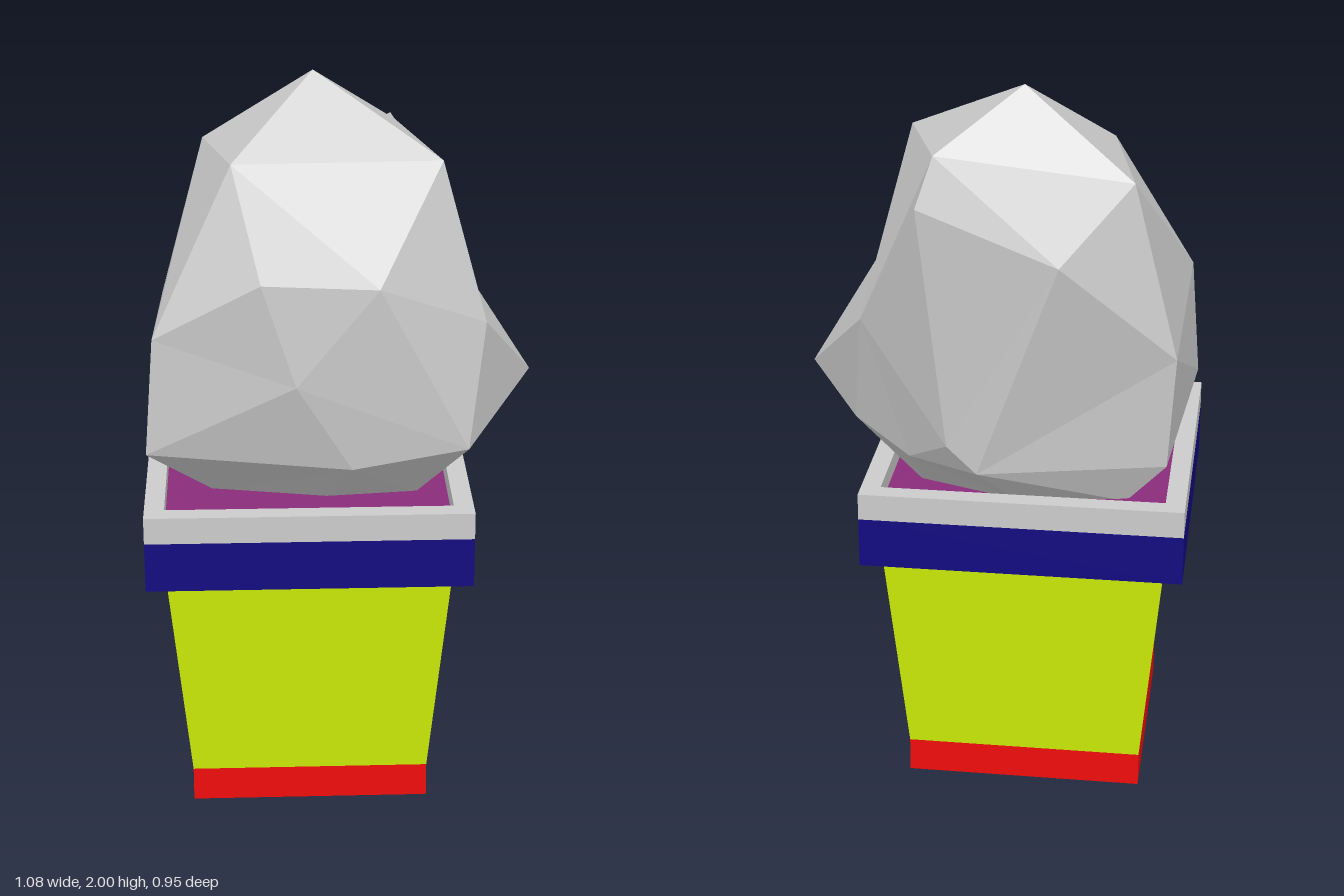
import * as THREE from 'three';
import { ConvexGeometry } from 'three/addons/geometries/ConvexGeometry.js';

const mat = (color) => new THREE.MeshStandardMaterial({ color, flatShading: true });

// Square frustum standing on y0, with half widths at bottom and top
function squareBlock(name, color, y0, y1, halfBottom, halfTop) {
  const geo = new THREE.CylinderGeometry(halfTop * Math.SQRT2, halfBottom * Math.SQRT2, y1 - y0, 4);
  geo.rotateY(Math.PI / 4);
  const mesh = new THREE.Mesh(geo, mat(color));
  mesh.name = name;
  mesh.position.y = (y0 + y1) / 2;
  return mesh;
}

// Square frame with an open middle
function squareFrame(name, color, y0, y1, outer, inner) {
  const square = (Type, h) => new Type([[-h, -h], [h, -h], [h, h], [-h, h]].map((p) => new THREE.Vector2(...p)));
  const shape = square(THREE.Shape, outer);
  shape.holes.push(square(THREE.Path, inner));
  const geo = new THREE.ExtrudeGeometry(shape, { depth: y1 - y0, bevelEnabled: false });
  geo.rotateX(-Math.PI / 2);
  const mesh = new THREE.Mesh(geo, mat(color));
  mesh.name = name;
  mesh.position.y = y0;
  return mesh;
}

// Faceted bush: corners are joined by their directions around a centre, which
// keeps dents that a plain hull would fill. An optional fourth number above 1
// makes edges between such corners win over the edges crossing them.
function bushGeometry(points) {
  const centre = new THREE.Vector3(-0.03, 1.38, 0);
  const corners = points.map(([x, y, z]) => new THREE.Vector3(x, y, z));
  const dirs = corners.map((c, i) => c.clone().sub(centre).setLength(points[i][3] ?? 1));
  const geo = new ConvexGeometry(dirs);
  const pos = geo.attributes.position;
  const v = new THREE.Vector3();
  for (let i = 0; i < pos.count; i++) {
    v.fromBufferAttribute(pos, i);
    let best = 0;
    dirs.forEach((d, k) => { if (d.distanceToSquared(v) < dirs[best].distanceToSquared(v)) best = k; });
    pos.setXYZ(i, ...corners[best].toArray());
  }
  geo.computeVertexNormals();
  return geo;
}

export function createModel() {
  const model = new THREE.Group();
  model.name = 'pottedBush';

  // Pot
  const pot = new THREE.Group();
  pot.name = 'pot';
  pot.position.set(-0.098, 0, 0.033);
  pot.add(
    squareBlock('potBase', 0xf00c0c, 0, 0.098, 0.33, 0.33),
    squareBlock('potBody', 0xcfee08, 0.098, 0.72, 0.33, 0.388),
    squareFrame('rimBand', 0x120a80, 0.717, 0.857, 0.442, 0.388),
    squareFrame('rimTop', 0xcccccc, 0.857, 0.932, 0.442, 0.388),
    squareBlock('soil', 0x8a2c7c, 0.72, 0.88, 0.388, 0.388),
  );
  model.add(pot);

  // Bush
  const crown = [
    [-0.07, 2, -0.09], [0.27, 1.81, 0.145], [-0.295, 1.8, 0.13],
    [-0.375, 1.78, -0.215, 1.08], [0.16, 1.83, -0.205, 1.08], [0.165, 1.775, -0.475], [-0.2, 1.62, -0.445],
  ];
  const middle = [
    [0.09, 1.54, 0.405], [-0.22, 1.56, 0.42], [-0.13, 1.28, 0.43], [-0.51, 1.375, 0.31],
    [-0.5, 1.31, -0.265], [0.345, 1.4, -0.3], [0.385, 1.39, 0.245], [0.535, 1.155, -0.015],
  ];
  const lower = [
    [-0.535, 1.045, 0.31], [0.335, 1.065, 0.35], [0.02, 1.025, 0.385], [0.385, 1.065, -0.19],
    [0.22, 1, -0.29], [0.1, 1.09, -0.41], [0.02, 1.01, -0.405], [-0.48, 0.99, -0.25],
  ];
  const bottom = [
    [0.2, 0.87, -0.17], [0.2, 0.87, 0.195], [-0.05, 0.87, 0.22],
    [-0.35, 0.87, 0.16], [-0.37, 0.87, -0.23], [-0.08, 0.87, -0.27],
  ];
  const bush = new THREE.Mesh(bushGeometry([...crown, ...middle, ...lower, ...bottom]), mat(0xcccccc));
  bush.name = 'bush';
  model.add(bush);

  return model;
}
